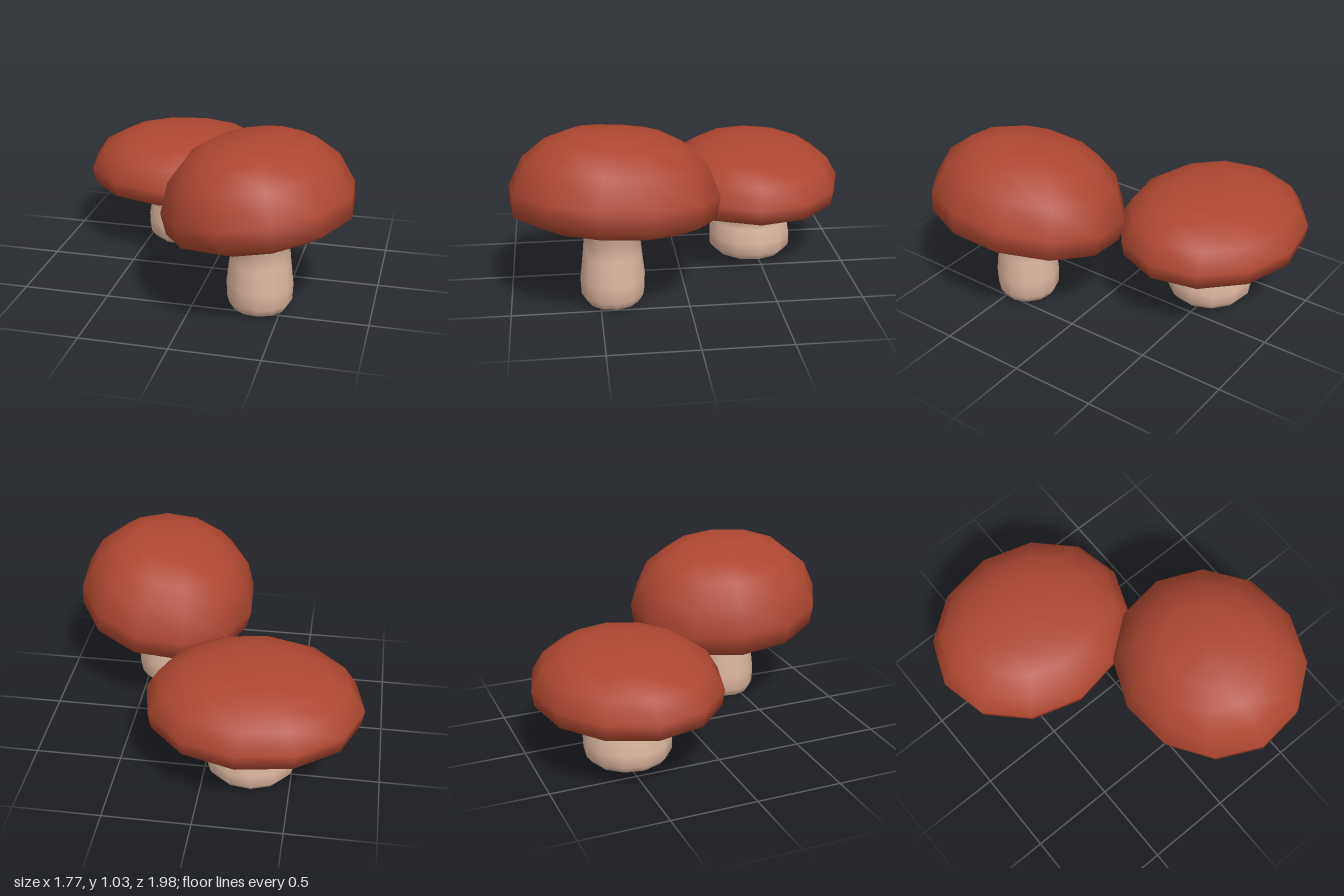
import * as THREE from 'three';
import { mergeVertices } from 'three/addons/utils/BufferGeometryUtils.js';

const capMaterial = new THREE.MeshStandardMaterial({ color: 0xad4730 });
capMaterial.name = 'russet cap';
const stemMaterial = new THREE.MeshStandardMaterial({ color: 0xdbb5a0 });
stemMaterial.name = 'pale stem';

// Twelve-sided turned form with fully smooth normals; bend moves its vertices
function turned(profile, phase, bend) {
  const points = profile.map(([r, y]) => new THREE.Vector2(r, y));
  let geometry = new THREE.LatheGeometry(points, 12, phase);
  geometry.deleteAttribute('uv');
  geometry.deleteAttribute('normal');
  geometry = mergeVertices(geometry, 1e-4);
  const position = geometry.attributes.position;
  const v = new THREE.Vector3();
  for (let i = 0; i < position.count; i++) {
    bend(v.fromBufferAttribute(position, i));
    position.setXYZ(i, v.x, v.y, v.z);
  }
  geometry.computeVertexNormals();
  return geometry;
}

// Unit cap: underside, rim at y = 0, dome up to y = 1
const capProfile = [
  [0, -0.56], [0.3, -0.58], [0.5, -0.67], [0.74, -0.57], [0.975, -0.375],
  [1, 0], [0.88, 0.46], [0.67, 0.77], [0.42, 0.94], [0, 1],
];

function makeCap({ at, size, under, phase, tilt }) {
  const geometry = turned(capProfile, phase, (v) => {
    v.x *= size[0];
    v.y *= v.y < 0 ? under : size[1];
    v.z *= size[2];
  });
  const cap = new THREE.Mesh(geometry, capMaterial);
  cap.name = 'cap';
  cap.position.set(...at);
  cap.rotation.set(tilt[0], 0, tilt[1]);
  return cap;
}

// The flared stem top follows the slope of its cap
function makeStem({ at, profile, depth, slope, height }) {
  const geometry = turned(profile, 0.1, (v) => {
    v.z *= depth;
    v.y += slope * v.x * Math.pow(v.y / height, 4);
  });
  const stem = new THREE.Mesh(geometry, stemMaterial);
  stem.name = 'stem';
  stem.position.set(...at);
  return stem;
}

function makeMushroom(name, cap, stem) {
  const mushroom = new THREE.Group();
  mushroom.name = name;
  mushroom.add(makeCap(cap), makeStem(stem));
  return mushroom;
}

export function createModel() {
  const model = new THREE.Group();
  model.name = 'mushrooms';

  model.add(makeMushroom('shortMushroom', {
    at: [-0.272, 0.49, -0.467], size: [0.615, 0.24, 0.535], under: 0.24,
    phase: -0.07, tilt: [0, 0],
  }, {
    at: [-0.262, 0, -0.467], depth: 0.97, slope: 0, height: 0.35,
    profile: [[0, 0], [0.18, 0.003], [0.225, 0.018], [0.26, 0.06], [0.262, 0.13],
      [0.245, 0.22], [0.23, 0.275], [0.285, 0.33], [0.29, 0.35], [0, 0.37]],
  }));

  model.add(makeMushroom('tallMushroom', {
    at: [0.355, 0.66, 0.405], size: [0.535, 0.36, 0.59], under: 0.32,
    phase: -0.19, tilt: [-0.07, 0.16],
  }, {
    at: [0.376, 0, 0.425], depth: 0.98, slope: 0.22, height: 0.5,
    profile: [[0, 0], [0.12, 0.003], [0.155, 0.018], [0.184, 0.065], [0.188, 0.16],
      [0.172, 0.3], [0.162, 0.4], [0.215, 0.48], [0.215, 0.5], [0, 0.52]],
  }));

  return model;
}
